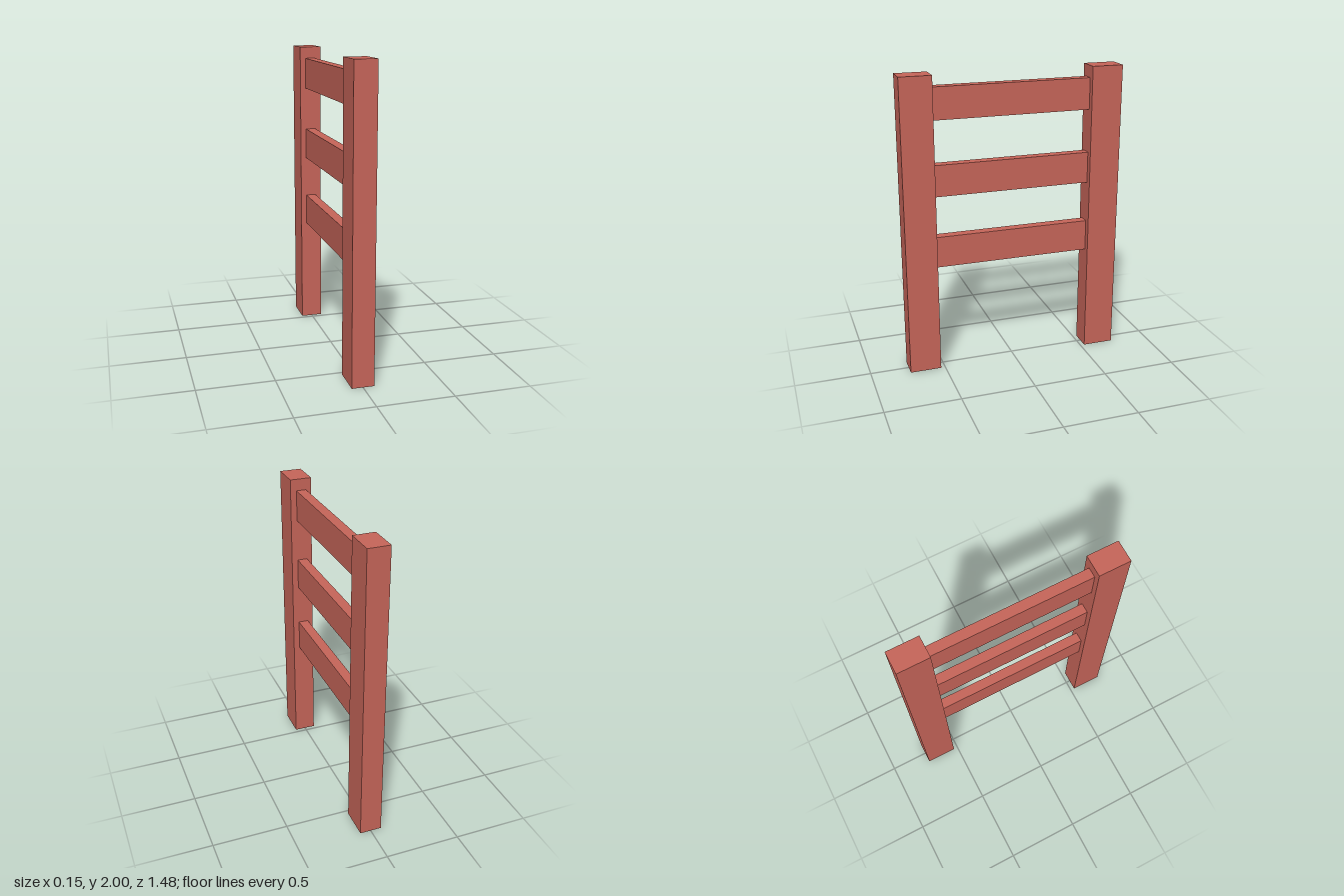
import * as THREE from 'three';

export function createModel() {
  const group = new THREE.Group();
  const paint = new THREE.MeshStandardMaterial({ color: 0xc8665a });
  paint.name = 'red paint';

  function addBox(name, width, height, depth, x, y, z) {
    const mesh = new THREE.Mesh(new THREE.BoxGeometry(width, height, depth), paint);
    mesh.name = name;
    mesh.position.set(x, y, z);
    group.add(mesh);
  }

  // Upright posts at each end
  addBox('frontPost', 0.146, 2, 0.21, 0, 1, 0.634);
  addBox('backPost', 0.146, 2, 0.21, 0, 1, -0.634);

  // Thinner horizontal rails between the posts
  const rails = { lowerRail: 0.83, middleRail: 1.316, upperRail: 1.816 };
  for (const [name, y] of Object.entries(rails)) {
    addBox(name, 0.067, 0.21, 1.058, -0.002, y, 0);
  }

  return group;
}
